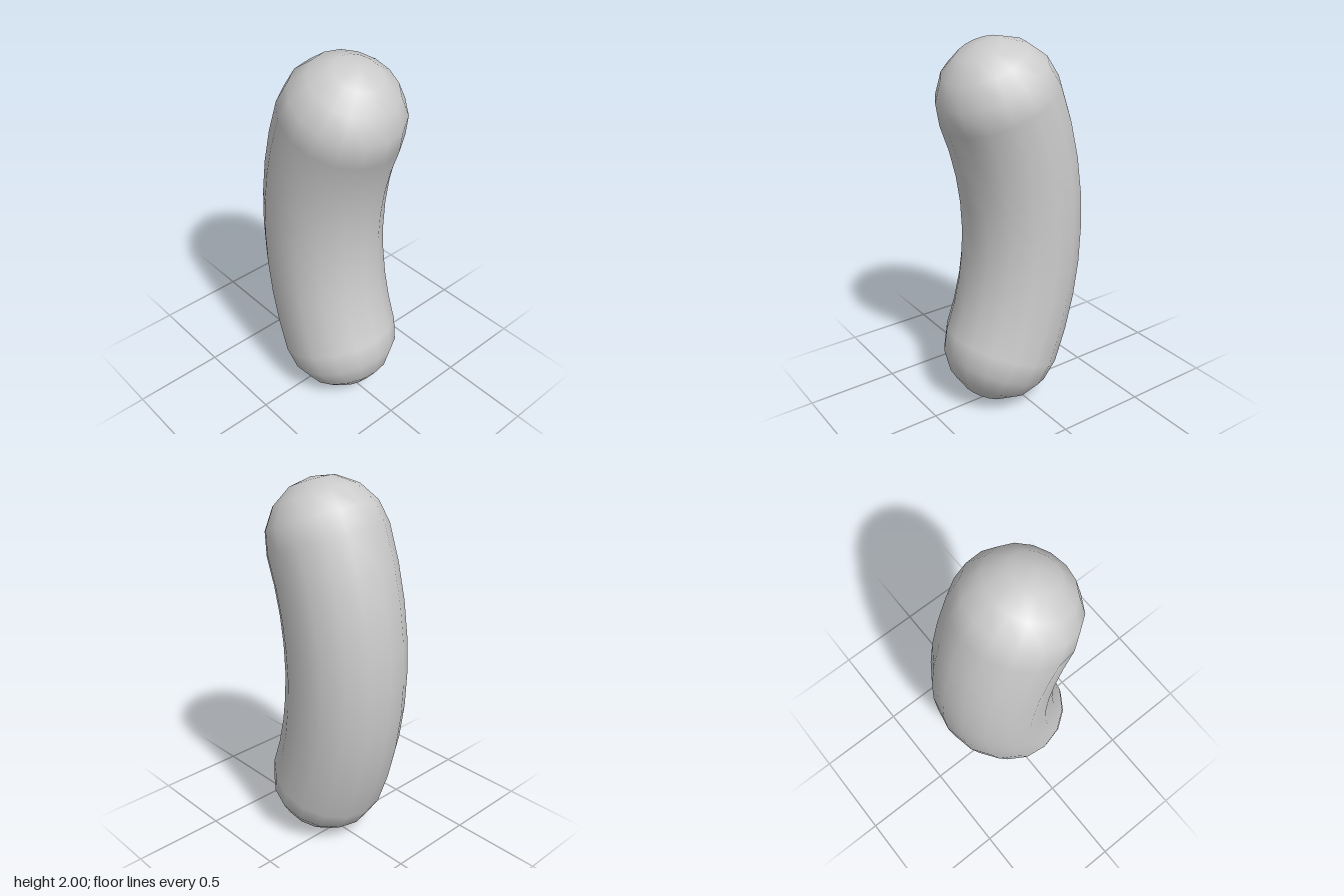
import * as THREE from 'three';

const RADIUS = 0.318;                                // thickness of the capsule
const END_ANGLE = Math.PI / 8;                       // bend at each end
const ARC = (1 - RADIUS) / Math.sin(END_ANGLE);      // radius of the curved spine
const HALF = ARC * END_ANGLE;                        // half length of the spine
const CENTRE_Z = ARC * (1 + Math.cos(END_ANGLE)) / 2; // bend centre, in front

// Wrap an upright capsule around the bend centre; the caps turn rigidly.
function bend(geometry) {
  const pos = geometry.attributes.position;
  const nor = geometry.attributes.normal;
  const axis = new THREE.Vector3(1, 0, 0);
  const v = new THREE.Vector3();
  for (let i = 0; i < pos.count; i++) {
    v.fromBufferAttribute(pos, i);
    const along = THREE.MathUtils.clamp(v.y, -HALF, HALF);
    const angle = along / ARC;
    v.y -= along;
    v.z -= ARC;
    v.applyAxisAngle(axis, angle);
    pos.setXYZ(i, v.x, v.y + 1, v.z + CENTRE_Z);
    v.fromBufferAttribute(nor, i).applyAxisAngle(axis, angle);
    nor.setXYZ(i, v.x, v.y, v.z);
  }
  return geometry;
}

export function createModel() {
  const group = new THREE.Group();
  group.name = 'bentCapsule';

  // Curved body with rounded ends
  const body = new THREE.Mesh(
    bend(new THREE.CapsuleGeometry(RADIUS, 2 * HALF, 4, 16, 8)),
    new THREE.MeshStandardMaterial({ color: 0xcccccc })
  );
  body.name = 'body';
  group.add(body);
  return group;
}
